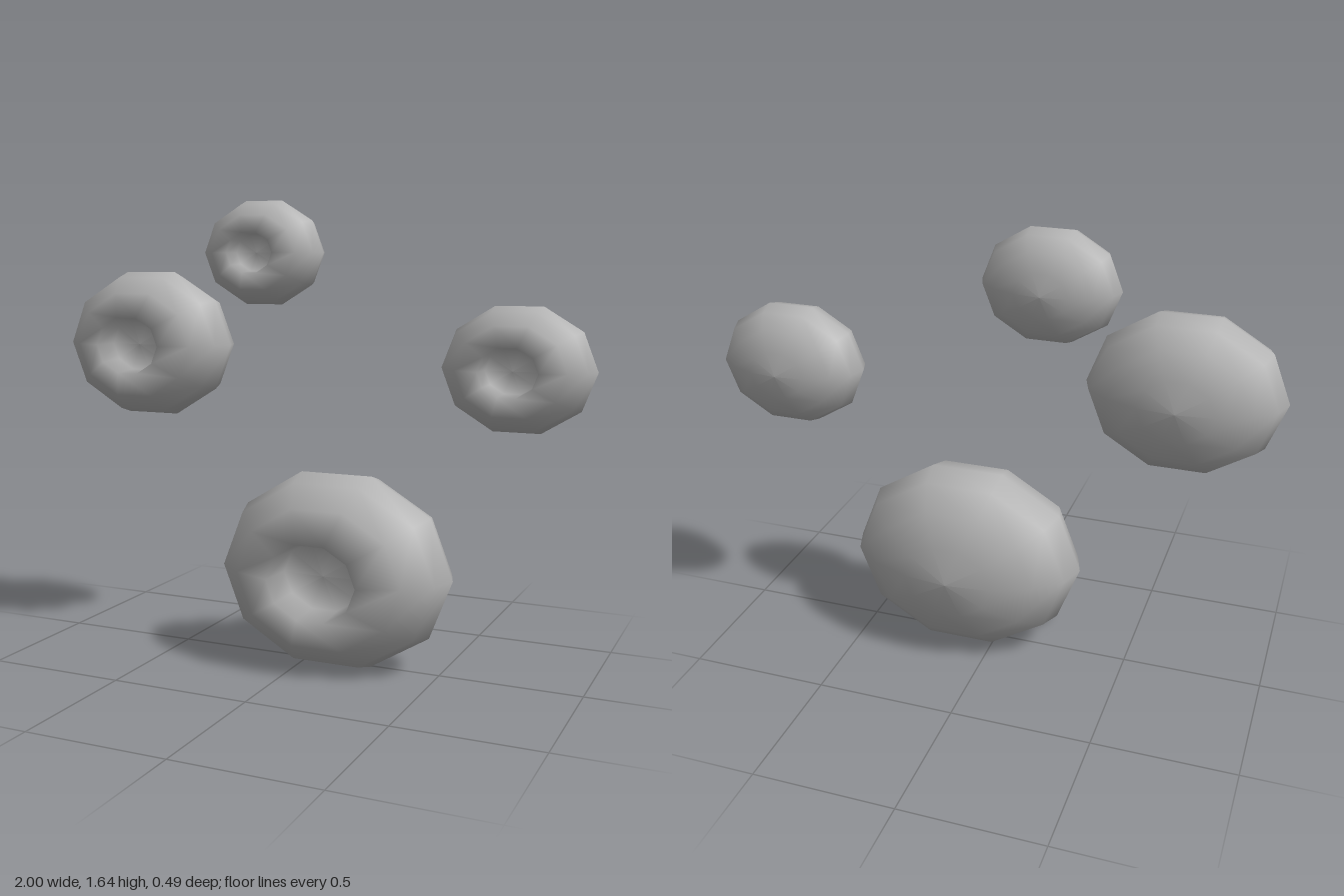
import * as THREE from 'three';

// Unit cushion along +z: a ten-sided ellipsoid with a sunken cup in its front pole
function padGeometry() {
  const rings = 8;
  const points = [];
  for (let i = 0; i < rings; i++) {
    const a = (i / rings) * Math.PI;
    points.push(new THREE.Vector2(Math.sin(a), -Math.cos(a)));
  }
  // cup wall and floor
  points.push(new THREE.Vector2(0.355, 0.42));
  points.push(new THREE.Vector2(0, 0.46));
  const geometry = new THREE.LatheGeometry(points, 10);
  geometry.rotateY(Math.PI / 2); // corners on the left and right
  geometry.rotateX(Math.PI / 2); // cup faces the front
  return geometry;
}

export function createModel() {
  const group = new THREE.Group();
  const grey = new THREE.MeshStandardMaterial({ color: 0xb4b4b4 });
  grey.name = 'grey';

  const back = -0.243; // all pads share one back plane
  const geometry = padGeometry();

  // name, centre x, centre y, size relative to the main pad
  const pads = [
    ['mainPad', 0.115, 0.35, 1],
    ['rightPad', -0.665, 1.13, 0.77],
    ['topPad', -0.221, 1.465, 0.54],
    ['leftPad', 0.731, 1.075, 0.617],
  ];
  for (const [name, x, y, size] of pads) {
    const pad = new THREE.Mesh(geometry, grey);
    pad.name = name;
    pad.scale.set(0.4325 * size, 0.361 * size, 0.253 * size);
    pad.position.set(x, y, back + 0.253 * size);
    group.add(pad);
  }
  return group;
}
